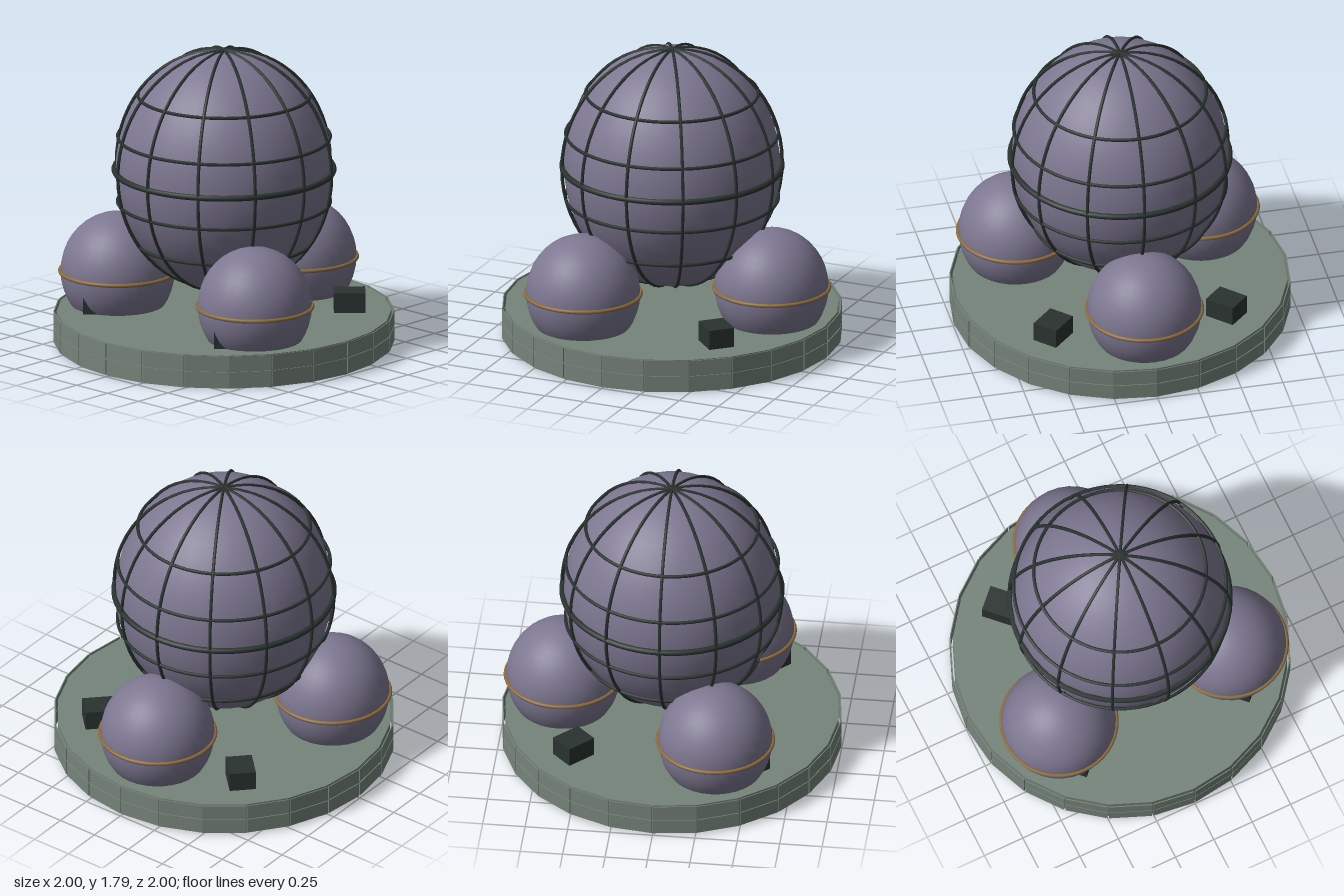
import * as THREE from 'three';

export function createModel() {
  const model = new THREE.Group();
  const mat = (name, color, flatShading = false) => {
    const m = new THREE.MeshStandardMaterial({ color, flatShading });
    m.name = name;
    return m;
  };
  const stone = mat('grey green', 0x76847a, true);
  const glass = mat('dusty violet', 0x7d7791);
  const iron = mat('dark iron', 0x2a3331);
  const brass = mat('brass', 0x8c6c43);

  const add = (name, geometry, material, parent = model) => {
    const mesh = new THREE.Mesh(geometry, material);
    mesh.name = name;
    parent.add(mesh);
    return mesh;
  };
  const group = (name) => {
    const g = new THREE.Group();
    g.name = name;
    model.add(g);
    return g;
  };

  // Round base; one corner lies on each axis
  const sides = 24, step = (Math.PI * 2) / sides;
  add('base', new THREE.CylinderGeometry(0.98, 0.98, 0.2, sides), stone).position.y = 0.1;

  // Two rows of thin panels standing just off the rim
  const cladding = group('rimPanels');
  const panel = new THREE.BoxGeometry(0.252, 0.088, 0.006);
  for (let i = 0; i < sides; i++) {
    const a = (i + 0.5) * step;
    for (const y of [0.06, 0.156]) {
      const p = add('rimPanel', panel, stone, cladding);
      p.position.set(Math.sin(a) * 0.988, y, Math.cos(a) * 0.988);
      p.rotation.y = a;
    }
  }

  // Large tall dome
  const cy = 1.06, cageR = 0.648, stretch = 1.11;
  const dome = add('mainDome', new THREE.SphereGeometry(0.635, 32, 24), glass);
  dome.scale.y = 0.72 / 0.635;
  dome.position.y = cy;

  // Cage: six full hoops make twelve ribs
  const cage = group('cage');
  cage.position.y = cy;
  const hoop = new THREE.TorusGeometry(cageR, 0.01, 6, 64).scale(1, stretch, 1);
  for (let i = 0; i < 6; i++) {
    add('cageRib', hoop, iron, cage).rotation.y = (i * Math.PI) / 6;
  }

  // Level cage rings, with a heavier one at the equator
  for (const y of [-0.44, -0.195, 0, 0.2, 0.45]) {
    const r = cageR * Math.sqrt(1 - (y / (cageR * stretch)) ** 2);
    const geo = y === 0
      ? new THREE.TorusGeometry(0.642, 0.018, 8, 64)
      : new THREE.TorusGeometry(r, 0.01, 6, 64);
    const ring = add(y === 0 ? 'equatorRing' : 'cageRing', geo, iron, cage);
    ring.rotation.x = Math.PI / 2;
    ring.position.y = y;
  }

  // Three small domes, each with a brass ring
  const ball = new THREE.SphereGeometry(0.335, 32, 20).scale(1, 1.05, 1);
  const band = new THREE.TorusGeometry(0.338, 0.012, 8, 48).rotateX(Math.PI / 2);
  for (let i = 0; i < 3; i++) {
    const a = (i * Math.PI * 2) / 3;
    const small = group('smallDome');
    small.position.set(Math.cos(a) * 0.64, 0.4, Math.sin(a) * 0.64);
    add('smallDomeShell', ball, glass, small);
    add('smallDomeRing', band, brass, small);
  }

  // Four iron blocks on the diagonals
  const block = new THREE.BoxGeometry(0.155, 0.13, 0.185);
  for (let i = 0; i < 4; i++) {
    const a = Math.PI / 4 + (i * Math.PI) / 2;
    const b = add('block', block, iron);
    b.position.set(Math.sin(a) * 0.735, 0.253, Math.cos(a) * 0.735);
    b.rotation.y = a;
  }

  return model;
}
